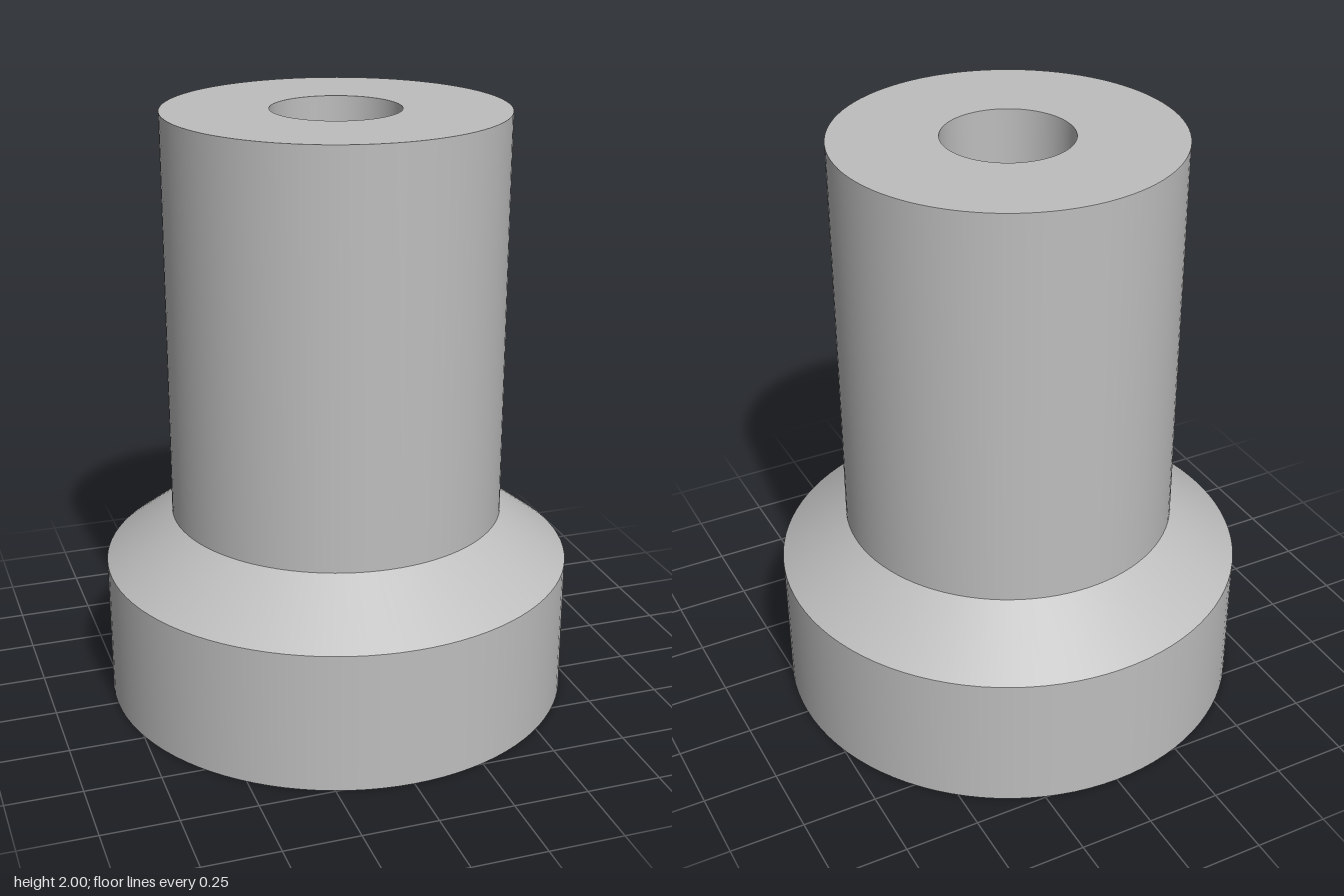
import * as THREE from 'three';

export function createModel() {
  const model = new THREE.Group();
  model.name = 'flangedSleeve';
  const grey = new THREE.MeshStandardMaterial({ color: 0xbebebe });
  grey.name = 'plain grey';

  const flangeR = 0.787, shaftR = 0.56, boreR = 0.212;
  const flangeTop = 0.475, shaftBase = 0.645, top = 2, boreFloor = 0.65;

  // Each straight run of the profile is its own lathe, keeping the rims sharp
  const rings = [
    ['flangeUnderside', 0, 0, flangeR, 0],
    ['flangeWall', flangeR, 0, flangeR, flangeTop],
    ['flangeChamfer', flangeR, flangeTop, shaftR, shaftBase],
    ['shaftWall', shaftR, shaftBase, shaftR, top],
    ['shaftRim', shaftR, top, boreR, top],
    ['boreWall', boreR, top, boreR, boreFloor],
    ['boreFloor', boreR, boreFloor, 0, boreFloor],
  ];
  for (const [name, r0, y0, r1, y1] of rings) {
    const profile = [new THREE.Vector2(r0, y0), new THREE.Vector2(r1, y1)];
    const mesh = new THREE.Mesh(new THREE.LatheGeometry(profile, 96), grey);
    mesh.name = name;
    model.add(mesh);
  }
  return model;
}
